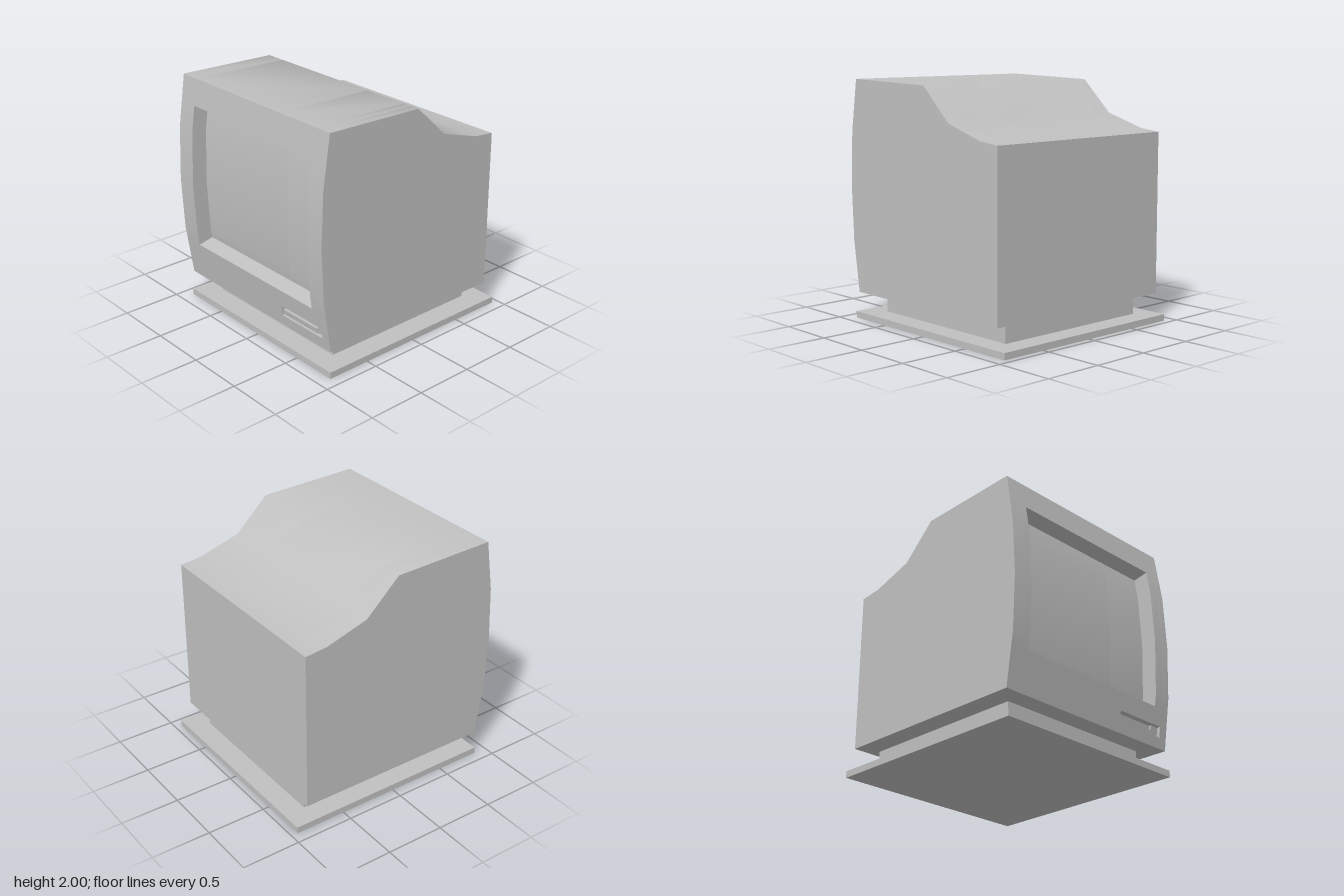
import * as THREE from 'three';
import { toCreasedNormals } from 'three/addons/utils/BufferGeometryUtils.js';

// bulged front outline, bottom to top, as [z, y]
const FRONT = [[0.865, 0.22], [0.93, 0.66], [0.95, 1.11], [0.93, 1.57], [0.865, 2]];
// roof and back outline, front to rear, as [z, y]
const REAR = [[-0.01, 1.975], [-0.30, 1.70], [-0.66, 1.59], [-0.85, 1.57], [-0.85, 0.22]];

function frontZ(y) {
  for (let i = 1; i < FRONT.length; i++) {
    const [z0, y0] = FRONT[i - 1], [z1, y1] = FRONT[i];
    if (y <= y1) return z0 + (z1 - z0) * (y - y0) / (y1 - y0);
  }
  return FRONT[FRONT.length - 1][0];
}

// point set back from the front surface
const at = (y, depth = 0) => [frontZ(y) - depth, y];

// closed side outline; slot and screen are optional recesses
function outline(slot, screen) {
  const lower = slot || [at(0.31), at(0.40)];
  const middle = screen
    ? [at(0.55), ...[0.58, 0.66, 1.11, 1.57, 1.755].map(y => at(y, 0.135)), at(1.78)]
    : [0.55, 0.66, 1.11, 1.57, 1.78].map(y => at(y));
  return [at(0.22), ...lower, ...middle, at(2), ...REAR];
}

// drive slot with a lower lip, and the shallow finger notch beside it
const SLOT = [at(0.31), at(0.31, 0.02), at(0.355, 0.02), at(0.355, 0.05), at(0.40, 0.05), at(0.40)];
const NOTCH = [at(0.31), at(0.31, 0.03), at(0.40, 0.03), at(0.40)];

// extrudes a side outline across x
function slab(points, x0, x1) {
  const shape = new THREE.Shape(points.map(([z, y]) => new THREE.Vector2(-z, y)));
  const geo = new THREE.ExtrudeGeometry(shape, { depth: x1 - x0, bevelEnabled: false });
  geo.rotateY(Math.PI / 2).translate(x0, 0, 0);
  return toCreasedNormals(geo, Math.PI / 3);
}

export function createModel() {
  const group = new THREE.Group();
  const plastic = new THREE.MeshStandardMaterial({ color: 0xc0c0c0 });
  plastic.name = 'grey plastic';

  const add = (name, geo, parent = group) => {
    const mesh = new THREE.Mesh(geo, plastic);
    mesh.name = name;
    parent.add(mesh);
  };
  const box = (name, x0, x1, y0, y1, z0, z1) => add(name,
    new THREE.BoxGeometry(x1 - x0, y1 - y0, z1 - z0)
      .translate((x0 + x1) / 2, (y0 + y1) / 2, (z0 + z1) / 2));

  // stand
  box('basePlate', -0.905, 0.905, 0, 0.055, -0.945, 0.885);
  box('pedestal', -0.725, 0.72, 0.055, 0.22, -0.76, 0.70);

  // housing, in slices across x
  const housing = new THREE.Group();
  housing.name = 'housing';
  group.add(housing);
  add('rightBezel', slab(outline(null, false), -0.905, -0.73), housing);
  add('screenSection', slab(outline(null, true), -0.73, 0.32), housing);
  add('driveSection', slab(outline(SLOT, true), 0.32, 0.725), housing);
  add('fingerNotchSection', slab(outline(NOTCH, false), 0.725, 0.805), housing);
  add('leftBezel', slab(outline(null, false), 0.805, 0.885), housing);

  return group;
}
